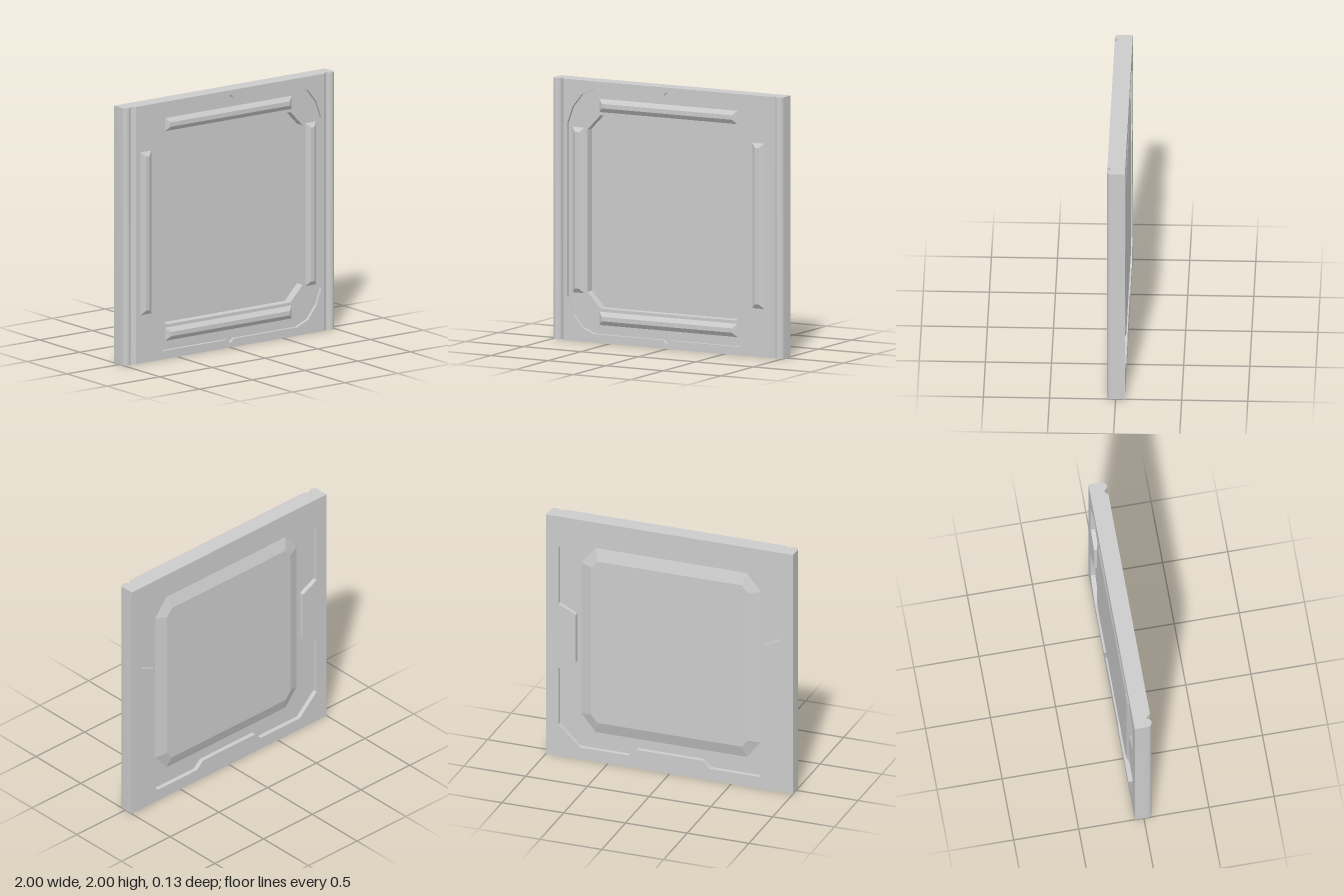
import * as THREE from 'three';
import { toCreasedNormals } from 'three/addons/utils/BufferGeometryUtils.js';

const material = new THREE.MeshStandardMaterial({ color: 0xcccccc });

// Depths of the stacked layers, back to front
const BACK = -0.07, BACK_FLOOR = -0.035, FRONT_FLOOR = -0.03, RING = 0.04, FRONT = 0.065;

// Full outline, counter-clockwise, from its first quarter (from +x axis to +y axis), centred on y = 1
function mirrorQuarter(quarter) {
  const half = [...quarter, ...quarter.filter(p => p[0] > 0).reverse().map(([x, y]) => [-x, y])];
  const lower = half.filter(p => p[1] > 0).reverse().map(([x, y]) => [x, -y]);
  return [...half, ...lower].map(([x, y]) => new THREE.Vector2(x, y + 1));
}

const octagon = (hx, hy, cx, cy) => mirrorQuarter([[hx, hy - cy], [hx - cx, hy]]);

// Rectangular slab of the panel with an optional opening
function slab(name, halfWidth, z0, z1, opening) {
  const shape = new THREE.Shape([[-1, 0], [1, 0], [1, 2], [-1, 2]]
    .map(([x, y]) => new THREE.Vector2(x * halfWidth, y)));
  if (opening) shape.holes.push(new THREE.Path(opening));
  const geometry = new THREE.ExtrudeGeometry(shape, { depth: z1 - z0, bevelEnabled: false });
  geometry.translate(0, 0, z0);
  return named(name, geometry);
}

// Sloped block joining a convex base outline to a smaller top outline, with the top closed
function bevelBlock(name, base, top, zBase, zTop) {
  const positions = [];
  const tri = (...p) => {
    if (zTop < zBase) p.reverse();
    p.forEach(([v, z]) => positions.push(v.x, v.y, z));
  };
  const n = base.length;
  for (let i = 0; i < n; i++) {
    const j = (i + 1) % n;
    tri([base[i], zBase], [base[j], zBase], [top[j], zTop]);
    tri([base[i], zBase], [top[j], zTop], [top[i], zTop]);
    if (i > 0 && i < n - 1) tri([top[0], zTop], [top[i], zTop], [top[j], zTop]);
  }
  const geometry = new THREE.BufferGeometry();
  geometry.setAttribute('position', new THREE.Float32BufferAttribute(positions, 3));
  geometry.computeVertexNormals();
  return named(name, geometry);
}

function named(name, geometry) {
  const mesh = new THREE.Mesh(geometry, material);
  mesh.name = name;
  return mesh;
}

// Raised bar with sloped sides and ends
function ridge(name, x, y, hx, hy) {
  const rect = inset => [[-1, -1], [1, -1], [1, 1], [-1, 1]].map(([sx, sy]) =>
    new THREE.Vector2(x + sx * (hx - inset), y + sy * (hy - inset)));
  return bevelBlock(name, rect(0), rect(0.034), RING, FRONT);
}

// Side rail: rounded bead and V groove, run up the full height
function rail(name, side) {
  const profile = [[0.91, BACK], [1, BACK]];
  for (let i = 0; i <= 14; i++) {
    const a = Math.PI * i / 14;
    profile.push([0.965 + 0.035 * Math.cos(a), 0.03 + 0.035 * Math.sin(a)]);
  }
  profile.push([0.925, 0.035], [0.896, FRONT], [0.88, FRONT], [0.88, RING], [0.91, RING]);
  const shape = new THREE.Shape(profile.map(([x, z]) => new THREE.Vector2(side * x, -z)));
  const geometry = new THREE.ExtrudeGeometry(shape, { depth: 2, bevelEnabled: false });
  geometry.rotateX(-Math.PI / 2);
  return named(name, toCreasedNormals(geometry, 0.5));
}

export function createModel() {
  const model = new THREE.Group();
  model.name = 'wallPanel';

  // Openings: notched back recess, deep front recess, shallow front ring
  const backOutline = mirrorQuarter([
    [0.76, 0.2], [0.9, 0.27], [0.9, 0.74], [0.727, 0.903], [0.328, 0.903], [0.268, 0.845]]);
  const innerOutline = octagon(0.705, 0.74, 0.115, 0.12);
  const ringOutline = mirrorQuarter([
    [0.865, 0.665], [0.82, 0.79], [0.74, 0.89], [0.635, 0.935], [0.035, 0.935], [0, 0.965]]);

  model.add(
    slab('backFrame', 0.91, BACK, BACK_FLOOR, backOutline),
    slab('corePlate', 0.91, BACK_FLOOR, FRONT_FLOOR),
    slab('innerFrame', 0.91, FRONT_FLOOR, RING, innerOutline),
    slab('frontFrame', 0.88, RING, FRONT, ringOutline),
    bevelBlock('backRaisedPanel', octagon(0.727, 0.77, 0.115, 0.14),
      octagon(0.635, 0.675, 0.053, 0.06), BACK_FLOOR, -0.068)
  );

  // Rails and ridges, mirrored about the centre
  for (const s of [-1, 1]) {
    model.add(
      rail(s > 0 ? 'leftRail' : 'rightRail', s),
      ridge(s > 0 ? 'leftRidge' : 'rightRidge', s * 0.782, 1, 0.051, 0.633),
      ridge(s > 0 ? 'topRidge' : 'bottomRidge', 0, 1 + s * 0.815, 0.6, 0.051)
    );
  }
  return model;
}
